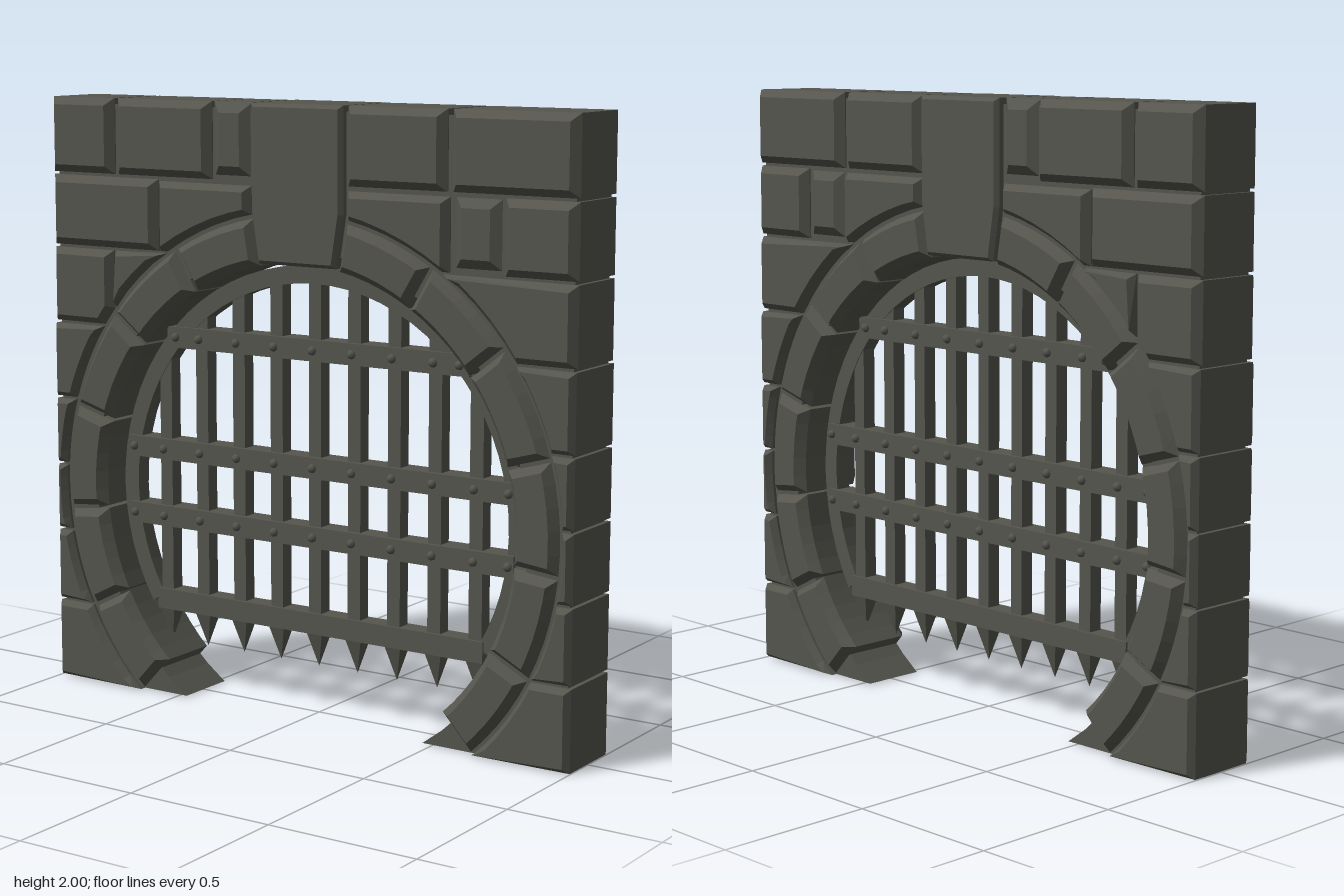
import * as THREE from 'three';

const CY = 0.7;          // height of the arch centre
const R_IN = 0.79, R_OUT = 0.95, R_BLOCK = 0.957;
const HALF = 0.14;       // half the wall thickness
const GAP = 0.005;
const rad = THREE.MathUtils.degToRad;

// points on a circle around the arch centre, angles in radians
function arc(r, a0, a1, n) {
  return Array.from({ length: n + 1 }, (_, i) => {
    const a = a0 + (a1 - a0) * i / n;
    return [r * Math.cos(a), CY + r * Math.sin(a)];
  });
}
const angleAtY = (y, r = R_BLOCK) => Math.asin((y - CY) / r);
const angleAtX = (x, r = R_BLOCK) => Math.acos(x / r);

const toShape = (pts, side = 1) => new THREE.Shape(pts.map(([x, y]) => new THREE.Vector2(x * side, y)));

export function createModel() {
  const model = new THREE.Group();
  model.name = 'portcullisGateway';
  const wall = new THREE.Group();
  wall.name = 'stoneWall';
  const gate = new THREE.Group();
  gate.name = 'portcullis';
  model.add(wall, gate);
  const darkGrey = new THREE.MeshStandardMaterial({ color: 0x55554e });
  darkGrey.name = 'darkGrey';

  function add(parent, name, geometry, x = 0, y = 0, z = 0) {
    const mesh = new THREE.Mesh(geometry, darkGrey);
    mesh.name = name;
    mesh.position.set(x, y, z);
    parent.add(mesh);
    return mesh;
  }

  // a chamfered stone running through the wall
  function stone(name, pts, { side = 1, bevel = 0.022, chamferDepth = 0.028, half = HALF } = {}) {
    const depth = 2 * (half - chamferDepth);
    const geometry = new THREE.ExtrudeGeometry(toShape(pts, side), {
      depth, bevelEnabled: true, bevelSegments: 1, bevelSize: bevel,
      bevelThickness: chamferDepth, bevelOffset: -bevel - GAP,
    });
    geometry.translate(0, 0, -depth / 2);
    add(wall, name, geometry);
  }

  // a plain slab centred on z = 0
  function slab(parent, name, pts, half) {
    const geometry = new THREE.ExtrudeGeometry(toShape(pts), { depth: 2 * half, bevelEnabled: false });
    geometry.translate(0, 0, -half);
    add(parent, name, geometry);
  }

  const rect = (x0, x1, y0, y1) => [[x0, y0], [x1, y0], [x1, y1], [x0, y1]];
  const E = 1 + GAP, TOP = 2 + GAP;

  // mortar core seen in the joints and at the feet of the arch
  const rCore = 0.84, foot = angleAtY(0.002, rCore);
  slab(wall, 'mortarCore', [
    ...arc(rCore, foot, Math.PI - foot, 48),
    [-0.985, 0.002], [-0.985, 1.98], [0.985, 1.98], [0.985, 0.002],
  ], 0.108);

  // arch stones, mirrored about the keystone
  const joints = [79.5, 59, 38, 16, -6, -27, -47.5].map(rad);
  for (const side of [1, -1]) {
    for (let i = 0; i < joints.length - 1; i++) {
      stone('archStone', [
        ...arc(R_IN, joints[i], joints[i + 1], 5),
        ...arc(R_OUT + GAP, joints[i + 1], joints[i], 5),
      ], { side, bevel: 0.026, chamferDepth: 0.034 });
    }
  }
  stone('keystone', [[-0.18, TOP], [-0.18, 1.66], [-0.152, 1.485], [0.152, 1.485], [0.18, 1.66], [0.18, TOP]],
    { bevel: 0.012, chamferDepth: 0.015 });

  // side courses, cut to the curve of the arch
  const courses = [-GAP, 0.27, 0.52, 0.75, 0.98, 1.24];
  const sideBlock = (y0, y1) => [[E, y0], [E, y1], ...arc(R_BLOCK, angleAtY(y1), angleAtY(y0), 5)];
  for (const side of [1, -1]) {
    for (let i = 0; i < courses.length - 1; i++) {
      stone('sideStone', sideBlock(courses[i], courses[i + 1]), { side, bevel: 0.016, chamferDepth: 0.022 });
    }
  }

  // third course: one stone on the left, two on the right
  stone('shoulderStone', sideBlock(1.24, 1.5));
  const split = 0.745;
  stone('shoulderStone', [[E, 1.24], [E, 1.5], [split, 1.5],
    ...arc(R_BLOCK, angleAtX(split), angleAtY(1.24), 2)], { side: -1 });
  stone('shoulderWedge', [[split, 1.5], ...arc(R_BLOCK, angleAtY(1.5), angleAtX(split), 4)],
    { side: -1, bevel: 0.016 });

  // second course
  for (const side of [1, -1]) {
    stone('spandrelStone', [[0.18, 1.74], [0.56, 1.74], [0.56, 1.5],
      ...arc(R_BLOCK, angleAtY(1.5), angleAtX(0.18), 5)], { side, bevel: 0.02 });
  }
  stone('courseStone', rect(-E, -0.555, 1.5, 1.745), { bevel: 0.025 });
  stone('smallStone', rect(0.565, 0.745, 1.51, 1.745), { bevel: 0.035, half: 0.132 });
  stone('courseStone', rect(0.745, E, 1.5, 1.745), { bevel: 0.025 });

  // top course
  const topStones = [[-E, -0.735], [-0.73, -0.335], [-0.34, -0.18], [0.18, 0.55], [0.56, E]];
  topStones.forEach(([x0, x1], i) => {
    const small = i === 2;
    stone(small ? 'smallStone' : 'topStone', rect(x0, x1, small ? 1.755 : 1.745, TOP),
      { bevel: small ? 0.035 : 0.025, half: small ? 0.132 : HALF });
  });

  // curved rim of the portcullis
  const rim = angleAtY(0.29, 0.783);
  slab(gate, 'gateRim', [
    ...arc(0.783, rim, Math.PI - rim, 48),
    ...arc(0.725, Math.PI - rim, rim, 48),
  ], 0.027);
  add(gate, 'bottomRail', new THREE.BoxGeometry(1.28, 0.07, 0.07), 0, 0.305);

  // upright bars with pointed ends
  const spike = new THREE.ConeGeometry(0.042, 0.115, 4).rotateY(Math.PI / 4).rotateX(Math.PI).toNonIndexed();
  spike.computeVertexNormals();
  const barXs = Array.from({ length: 9 }, (_, i) => (i - 4) * 0.1515);
  for (const x of barXs) {
    const top = CY + Math.sqrt(0.75 ** 2 - x * x);
    add(gate, 'uprightBar', new THREE.BoxGeometry(0.048, top - 0.3, 0.048), x, (top + 0.3) / 2);
    add(gate, 'spike', spike, x, 0.2135);
  }

  // riveted cross straps
  const rivet = new THREE.SphereGeometry(0.015, 8, 6);
  const straps = [[1.21, 0.585, 0.55], [0.825, 0.75, 0.73], [0.595, 0.75, 0.73]];
  for (const [y, halfWidth, endX] of straps) {
    add(gate, 'crossStrap', new THREE.BoxGeometry(2 * halfWidth, 0.07, 0.08), 0, y);
    const inner = barXs.filter((x) => Math.abs(x) < endX);
    for (const x of [-endX, ...inner, endX]) {
      for (const z of [-0.041, 0.041]) add(gate, 'rivet', rivet, x, y, z);
    }
  }
  return model;
}
